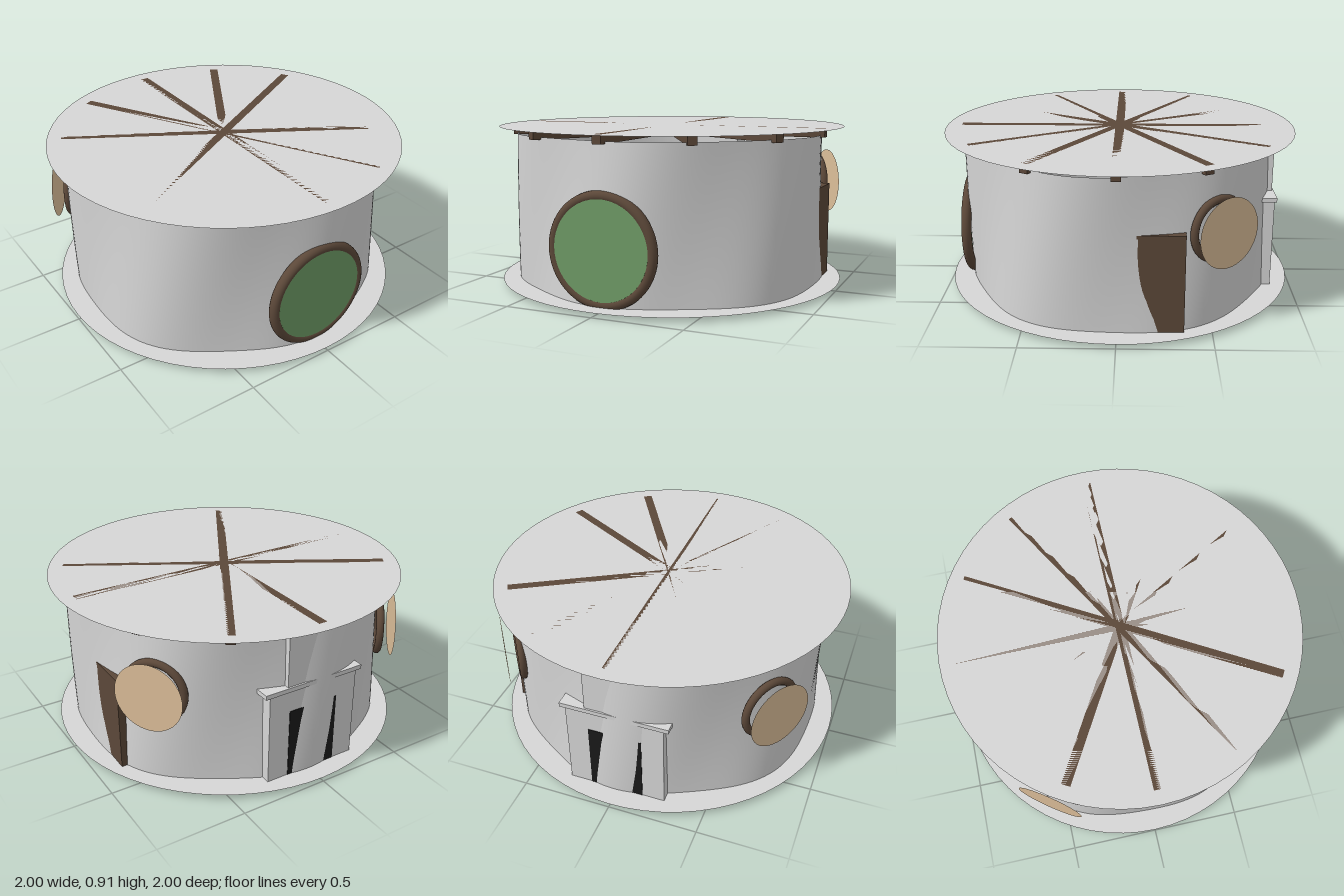
import * as THREE from 'three';

const mat = (name, color, double = false) => {
  const m = new THREE.MeshStandardMaterial({ color });
  m.name = name;
  if (double) m.side = THREE.DoubleSide;
  return m;
};

export function createModel() {
  const model = new THREE.Group();
  model.name = 'roundHouse';
  const plaster = mat('plaster', 0xd6d6d6, true);
  const wood = mat('darkWood', 0x5c4839);
  const green = mat('doorGreen', 0x6f9c66);
  const tan = mat('windowTan', 0xdec09b, true);
  const soot = mat('sootBlack', 0x1a1a1a);

  const add = (name, geo, material, x = 0, y = 0, z = 0, parent = model) => {
    const m = new THREE.Mesh(geo, material);
    m.name = name;
    m.position.set(x, y, z);
    parent.add(m);
    return m;
  };
  // Box given by its lower and upper corners
  const box = (name, material, x0, x1, y0, y1, z0, z1, parent) =>
    add(name, new THREE.BoxGeometry(x1 - x0, y1 - y0, z1 - z0), material,
      (x0 + x1) / 2, (y0 + y1) / 2, (z0 + z1) / 2, parent);

  const FLOOR = 0.025, ROOF = 0.907, WALL_TOP = 0.87;

  // Flat floor and roof discs
  for (const [name, y] of [['floor', FLOOR], ['roof', ROOF]]) {
    add(name, new THREE.CircleGeometry(1, 64), plaster, 0, y, 0).rotation.x = -Math.PI / 2;
  }

  // Wavy hand-plastered wall, its ripples leaning with height
  const h = WALL_TOP - FLOOR;
  const wallGeo = new THREE.CylinderGeometry(1, 1, h, 144, 20, true);
  wallGeo.translate(0, FLOOR + h / 2, 0);
  const p = wallGeo.attributes.position;
  for (let i = 0; i < p.count; i++) {
    const x = p.getX(i), y = p.getY(i), z = p.getZ(i);
    const a = Math.atan2(x, z);
    const r = 0.873 + 0.018 * Math.cos(6 * (a + 0.052) - 2.2 * y) + 0.02 * x * x;
    p.setXYZ(i, x * r, y, z * r);
  }
  wallGeo.computeVertexNormals();
  // Match the normals along the seam
  const n = wallGeo.attributes.normal;
  for (let row = 0; row <= 20; row++) {
    const i = row * 145, j = i + 144;
    const v = new THREE.Vector3(n.getX(i) + n.getX(j), n.getY(i) + n.getY(j), n.getZ(i) + n.getZ(j)).normalize();
    n.setXYZ(i, v.x, v.y, v.z);
    n.setXYZ(j, v.x, v.y, v.z);
  }
  add('wall', wallGeo, plaster);

  // Roof beams crossing at the centre
  for (let i = 0; i < 6; i++) {
    add('roofBeam', new THREE.BoxGeometry(1.84, 0.05, 0.05), wood, 0, ROOF - 0.025, 0)
      .rotation.y = i * Math.PI / 6;
  }

  // Round front door and frame
  const door = new THREE.Group();
  door.name = 'frontDoor';
  door.position.set(0, 0.315, 0.875);
  model.add(door);
  add('doorFrame', new THREE.TorusGeometry(0.281, 0.029, 16, 64), wood, 0, 0, 0, door);
  add('doorPanel', new THREE.CylinderGeometry(0.267, 0.267, 0.03, 48), green, 0, 0.003, 0.01, door)
    .rotation.x = Math.PI / 2;

  // Round windows, mirrored left and right
  for (const s of [1, -1]) {
    const win = new THREE.Group();
    win.name = s > 0 ? 'leftWindow' : 'rightWindow';
    win.position.y = 0.55;
    win.rotation.y = s * 2.19;
    model.add(win);
    add('windowFrame', new THREE.TorusGeometry(0.16, 0.022, 12, 48), wood, 0, 0, 0.9, win);
    add('windowPane', new THREE.CircleGeometry(0.19, 48), tan, 0, 0, 0.982, win);
  }

  // Fireplace set through the back wall
  const fire = new THREE.Group();
  fire.name = 'fireplace';
  model.add(fire);
  box('hearthBody', plaster, -0.275, 0.275, FLOOR, 0.54, -0.877, -0.66, fire);
  box('mantel', plaster, -0.305, 0.305, 0.54, 0.565, -0.885, -0.64, fire);
  box('chimney', plaster, -0.165, 0.165, 0.565, ROOF - 0.002, -0.875, -0.70, fire);
  box('firebox', soot, -0.15, 0.15, FLOOR, 0.42, -0.88, -0.655, fire);

  // Tall cupboard against the left wall
  const cupboard = new THREE.Group();
  cupboard.name = 'cupboard';
  model.add(cupboard);
  box('cupboardBody', wood, 0.76, 0.868, FLOOR, 0.54, -0.35, 0.0, cupboard);
  box('cupboardTop', wood, 0.75, 0.869, 0.54, 0.56, -0.35, 0.01, cupboard);

  // Low chest on the floor
  box('chest', wood, -0.53, -0.13, FLOOR - 0.003, 0.2, -0.46, -0.07);

  // Small stool
  const stool = new THREE.Group();
  stool.name = 'stool';
  stool.position.set(0.54, 0, 0.38);
  model.add(stool);
  add('stoolSeat', new THREE.CylinderGeometry(0.1, 0.1, 0.025, 24), wood, 0, 0.22, 0, stool);
  for (let i = 0; i < 4; i++) {
    const a = Math.PI / 4 + i * Math.PI / 2;
    add('stoolLeg', new THREE.CylinderGeometry(0.014, 0.014, 0.185, 10), wood,
      0.06 * Math.cos(a), 0.1175, 0.06 * Math.sin(a), stool);
  }

  // Round cushion sunk slightly into the floor
  add('cushion', new THREE.SphereGeometry(0.18, 32, 20), plaster, -0.54, 0.18, 0.354);

  return model;
}
